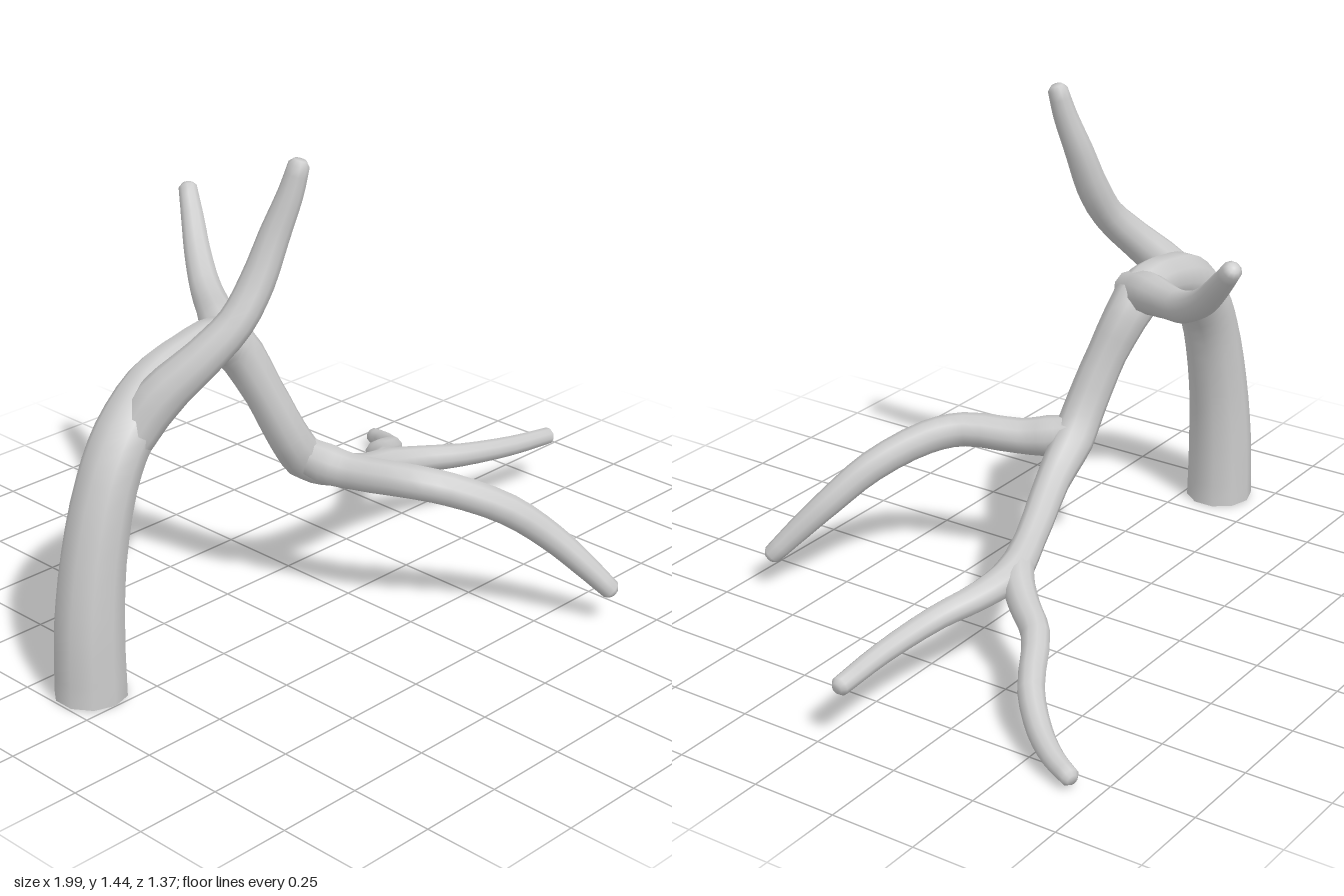
import * as THREE from 'three';

const SIDES = 10;
const material = new THREE.MeshStandardMaterial({ color: 0xcccccc, side: THREE.FrontSide });

// Tapering limb through [x, y, z, radius] points: open at the start, blunt rounded tip
function limb(name, points) {
  const curve = new THREE.CatmullRomCurve3(points.map(p => new THREE.Vector3(p[0], p[1], p[2])), false, 'centripetal');
  const spans = points.length - 1, steps = spans * 3;
  const rings = [];
  for (let i = 0; i <= steps; i++) {
    const t = i / steps, k = Math.min(Math.floor(t * spans), spans - 1);
    rings.push({
      c: curve.getPoint(t), d: curve.getTangent(t),
      r: THREE.MathUtils.lerp(points[k][3], points[k + 1][3], t * spans - k)
    });
  }
  // The chamfered end ring
  const end = rings[steps];
  rings.push({ c: end.c.clone().addScaledVector(end.d, end.r * 0.45), d: end.d, r: end.r * 0.6 });

  // Carry a side direction along the limb so that it does not twist
  const pos = [], index = [];
  const side = new THREE.Vector3(0, 0, 1);
  if (Math.abs(rings[0].d.z) > 0.8) side.set(1, 0, 0);
  for (const { c, d, r } of rings) {
    side.addScaledVector(d, -side.dot(d)).normalize();
    const up = new THREE.Vector3().crossVectors(d, side);
    for (let j = 0; j < SIDES; j++) {
      const a = j / SIDES * Math.PI * 2;
      const v = c.clone().addScaledVector(side, Math.cos(a) * r).addScaledVector(up, Math.sin(a) * r);
      pos.push(v.x, v.y, v.z);
    }
  }
  const last = rings.length - 1, tip = rings[last].c;
  pos.push(tip.x, tip.y, tip.z);
  for (let j = 0; j < SIDES; j++) {
    const n = (j + 1) % SIDES;
    for (let i = 0; i < last; i++) {
      const a = i * SIDES + j, b = i * SIDES + n;
      index.push(a, b, b + SIDES, a, b + SIDES, a + SIDES);
    }
    index.push(last * SIDES + j, last * SIDES + n, rings.length * SIDES);
  }
  const geo = new THREE.BufferGeometry();
  geo.setAttribute('position', new THREE.Float32BufferAttribute(pos, 3));
  geo.setIndex(index);
  geo.computeVertexNormals();
  const mesh = new THREE.Mesh(geo, material);
  mesh.name = name;
  return mesh;
}

export function createModel() {
  const group = new THREE.Group();
  group.name = 'bareTree';

  // Trunk arches over, drops and runs out into the longest limb
  group.add(limb('trunk', [
    [-0.9, 0.005, -0.1, 0.102], [-0.895, 0.2, -0.1, 0.098], [-0.87, 0.4, -0.1, 0.09],
    [-0.815, 0.6, -0.1, 0.084], [-0.745, 0.72, -0.105, 0.083], [-0.63, 0.82, -0.115, 0.078],
    [-0.5, 0.862, -0.125, 0.07], [-0.385, 0.875, -0.132, 0.068], [-0.32, 0.845, -0.13, 0.068],
    [-0.25, 0.7, -0.085, 0.058], [-0.19, 0.56, -0.055, 0.06], [-0.125, 0.465, -0.05, 0.062],
    [0, 0.385, -0.065, 0.05], [0.2, 0.3, -0.125, 0.045], [0.33, 0.26, -0.155, 0.05],
    [0.45, 0.24, -0.14, 0.042], [0.6, 0.22, -0.095, 0.036], [0.8, 0.195, -0.065, 0.031],
    [0.975, 0.175, -0.06, 0.027]
  ]));

  // Tall shoot rising from the bend of the trunk
  group.add(limb('upperBranch', [
    [-0.74, 0.7, -0.09, 0.06], [-0.67, 0.82, -0.045, 0.065], [-0.58, 0.93, 0.03, 0.055],
    [-0.5, 1.02, 0.075, 0.05], [-0.435, 1.12, 0.09, 0.048], [-0.385, 1.24, 0.105, 0.042],
    [-0.35, 1.35, 0.13, 0.035], [-0.332, 1.43, 0.145, 0.029]
  ]));

  // Shoot rising towards the back from the top of the arch
  group.add(limb('backBranch', [
    [-0.36, 0.865, -0.09, 0.055], [-0.315, 0.885, -0.18, 0.062], [-0.255, 0.9, -0.28, 0.05],
    [-0.2, 0.92, -0.37, 0.046], [-0.135, 0.98, -0.47, 0.04], [-0.08, 1.06, -0.55, 0.034],
    [-0.045, 1.125, -0.605, 0.028]
  ]));

  // Limb drooping to the front
  group.add(limb('frontBranch', [
    [-0.14, 0.49, -0.07, 0.05], [-0.11, 0.465, 0.02, 0.06], [-0.08, 0.455, 0.1, 0.052],
    [-0.02, 0.458, 0.26, 0.05], [0.05, 0.437, 0.345, 0.049], [0.18, 0.365, 0.45, 0.046],
    [0.28, 0.27, 0.53, 0.041], [0.34, 0.19, 0.595, 0.036], [0.395, 0.107, 0.66, 0.029]
  ]));

  // Fork of the long limb, falling to the back
  group.add(limb('lowerFork', [
    [0.26, 0.28, -0.14, 0.038], [0.34, 0.255, -0.18, 0.046], [0.41, 0.222, -0.25, 0.043],
    [0.48, 0.19, -0.335, 0.04], [0.64, 0.125, -0.43, 0.037], [0.73, 0.075, -0.52, 0.034],
    [0.785, 0.05, -0.6, 0.03], [0.815, 0.035, -0.67, 0.026]
  ]));

  return group;
}
